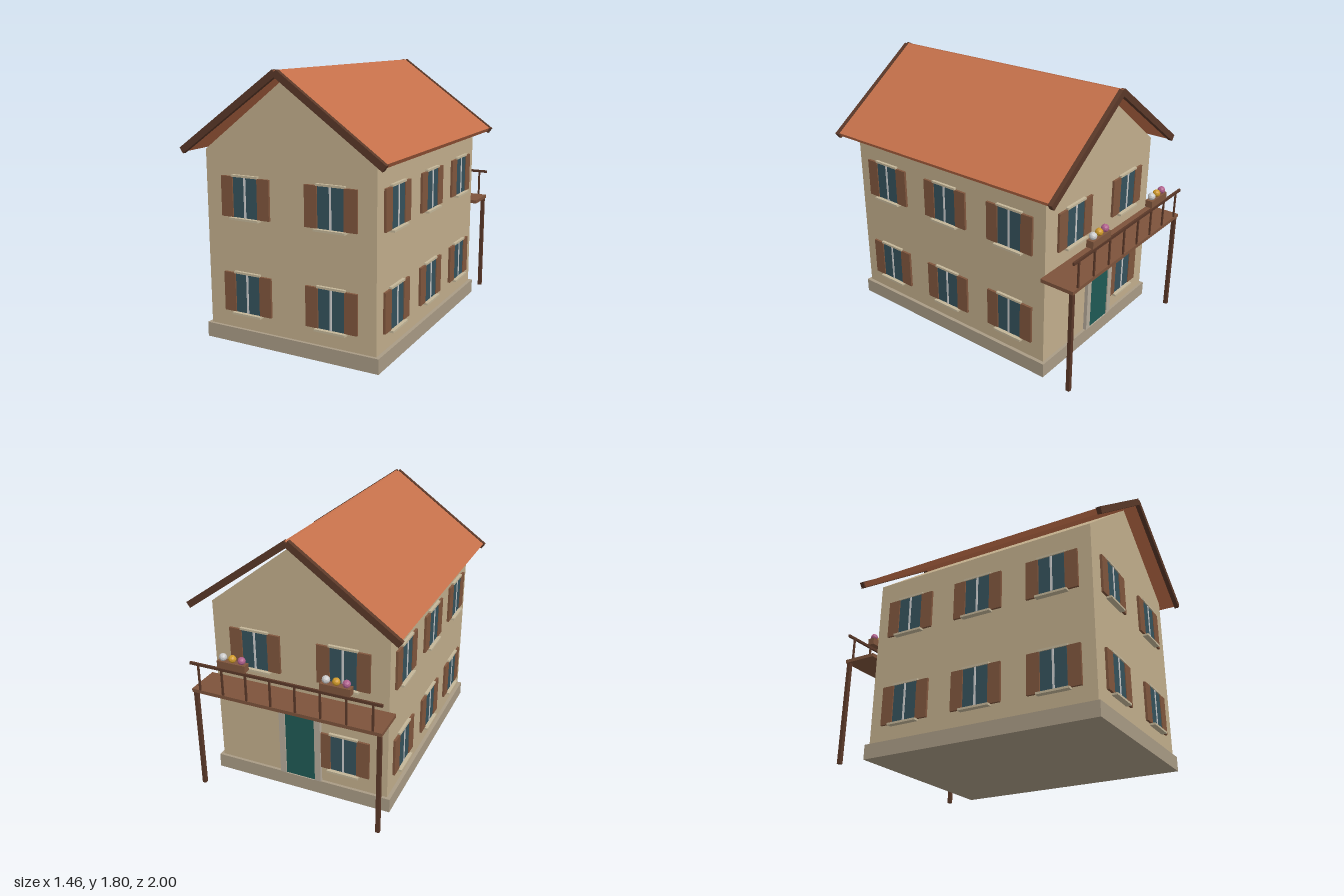
import * as THREE from 'three';

const mat = (color, extra = {}) => new THREE.MeshStandardMaterial({ color, ...extra });
const M = {
  wall: mat(0xc2ae8c), plinth: mat(0xa99b85), roof: mat(0xc4704a), wood: mat(0x5a3828),
  shutter: mat(0x80563d), glass: mat(0x35525c), bar: mat(0xdcdcd8), trim: mat(0xc4b698),
  stone: mat(0xb5aa9a), door: mat(0x1f5a55), deck: mat(0x7d533b),
  pink: mat(0xb0608c, { flatShading: true }), yellow: mat(0xd09a2a, { flatShading: true }),
  white: mat(0xd8d8d4, { flatShading: true }),
};

const MID = 0.0625;              // centre of the house along z
const HALF_W = 0.615, HALF_L = 0.8175;
const BACK = MID - HALF_L;       // z of the back wall
const WALL_BASE = 0.1, WALL_TOP = 1.28;

function add(parent, name, geometry, material, x = 0, y = 0, z = 0) {
  const mesh = new THREE.Mesh(geometry, material);
  mesh.name = name;
  mesh.position.set(x, y, z);
  parent.add(mesh);
  return mesh;
}

const box = (parent, name, material, w, h, d, x, y, z) =>
  add(parent, name, new THREE.BoxGeometry(w, h, d), material, x, y, z);

function group(parent, name) {
  const g = new THREE.Group();
  g.name = name;
  parent.add(g);
  return g;
}

// Shuttered window, facing +z before it is turned onto its wall
function addWindow(parent, x, y, z, turn) {
  const w = group(parent, 'window');
  box(w, 'glass', M.glass, 0.18, 0.265, 0.02, 0, 0, 0.002);
  box(w, 'mullion', M.bar, 0.014, 0.265, 0.012, 0, 0, 0.01);
  for (const s of [-1, 1]) box(w, 'shutter', M.shutter, 0.088, 0.265, 0.016, s * 0.137, 0, 0.008);
  box(w, 'lintel', M.trim, 0.2, 0.014, 0.022, 0, 0.138, 0.009);
  box(w, 'sill', M.trim, 0.22, 0.014, 0.04, 0, -0.139, 0.018);
  w.position.set(x, y, z);
  w.rotation.y = turn;
}

// Outline of an arched opening standing on y = 0
function arch(path, halfWidth, height) {
  path.moveTo(-halfWidth, 0);
  path.lineTo(halfWidth, 0);
  path.lineTo(halfWidth, height - halfWidth);
  path.absarc(0, height - halfWidth, halfWidth, 0, Math.PI, false);
  path.lineTo(-halfWidth, 0);
  return path;
}

const extrude = (shape, depth) =>
  new THREE.ExtrudeGeometry(shape, { depth, bevelEnabled: false, curveSegments: 16 });

function addDoor(parent) {
  const door = group(parent, 'door');
  const surround = new THREE.Shape([[-0.15, 0], [0.15, 0], [0.15, 0.62], [-0.15, 0.62]]
    .map(([x, y]) => new THREE.Vector2(x, y)));
  surround.holes.push(arch(new THREE.Path(), 0.107, 0.56));
  add(door, 'doorSurround', extrude(surround, 0.025), M.stone);
  add(door, 'doorLeaf', extrude(arch(new THREE.Shape(), 0.107, 0.56), 0.017), M.door);
  door.position.set(0, WALL_BASE, BACK);
  door.rotation.y = Math.PI;
}

// Two pitched slabs with dark boards along both gable ends
function addRoof(parent) {
  const roof = group(parent, 'roof');
  const pitch = Math.atan2(0.5, 0.705);
  for (const s of [-1, 1]) {
    const side = group(roof, 'roofSide');
    side.position.set(0, 1.785, MID);
    side.rotation.z = -s * pitch;
    box(side, 'roofSlab', M.roof, 0.865, 0.035, 1.85, s * 0.4325, 0, 0);
    for (const e of [-1, 1])
      box(side, 'bargeBoard', M.wood, 0.878, 0.044, 0.03, s * 0.439, 0, e * 0.9225);
  }
}

// Balcony on posts, with railing and flower boxes
function addBalcony(parent) {
  const b = group(parent, 'balcony');
  box(b, 'deck', M.deck, 1.32, 0.024, 0.24, 0, 0.733, BACK - 0.12);
  for (const s of [-1, 1]) box(b, 'post', M.wood, 0.026, 0.722, 0.026, s * 0.64, 0.361, -0.976);
  box(b, 'handrail', M.wood, 1.32, 0.018, 0.014, 0, 0.932, -0.989);
  for (let i = 0; i < 8; i++)
    box(b, 'baluster', M.wood, 0.013, 0.18, 0.01, -0.6 + i * 1.2 / 7, 0.835, -0.989);
  for (const s of [-1, 1]) {
    const planter = group(b, 'planter');
    planter.position.set(s * 0.355, 0.966, -0.966);
    box(planter, 'flowerBox', M.shutter, 0.2, 0.048, 0.05, 0, 0, 0);
    [M.pink, M.yellow, M.white].forEach((m, i) =>
      add(planter, 'flower', new THREE.IcosahedronGeometry(0.026, 1), m, (i - 1) * 0.067, 0.045, 0));
  }
}

export function createModel() {
  const house = new THREE.Group();
  house.name = 'house';

  // Masonry
  box(house, 'plinth', M.plinth, 1.28, WALL_BASE, 1.675, 0, WALL_BASE / 2, MID);
  box(house, 'walls', M.wall, HALF_W * 2, WALL_TOP - WALL_BASE, HALF_L * 2,
    0, (WALL_TOP + WALL_BASE) / 2, MID);
  const gable = new THREE.Shape([[-HALF_W, 0], [HALF_W, 0], [0, 0.47]]
    .map(([x, y]) => new THREE.Vector2(x, y)));
  add(house, 'gable', extrude(gable, HALF_L * 2), M.wall, 0, WALL_TOP, BACK);

  // Windows on two floors; the back ground floor has only one beside the door
  [0.347, 0.987].forEach((y, floor) => {
    for (const s of [-1, 1]) {
      addWindow(house, s * 0.31, y, MID + HALF_L, 0);
      if (floor === 1 || s === -1) addWindow(house, s * 0.31, y, BACK, Math.PI);
      for (const k of [-1, 0, 1])
        addWindow(house, s * HALF_W, y, MID + k * 0.545, s * Math.PI / 2);
    }
  });

  addDoor(house);
  addRoof(house);
  addBalcony(house);
  return house;
}
